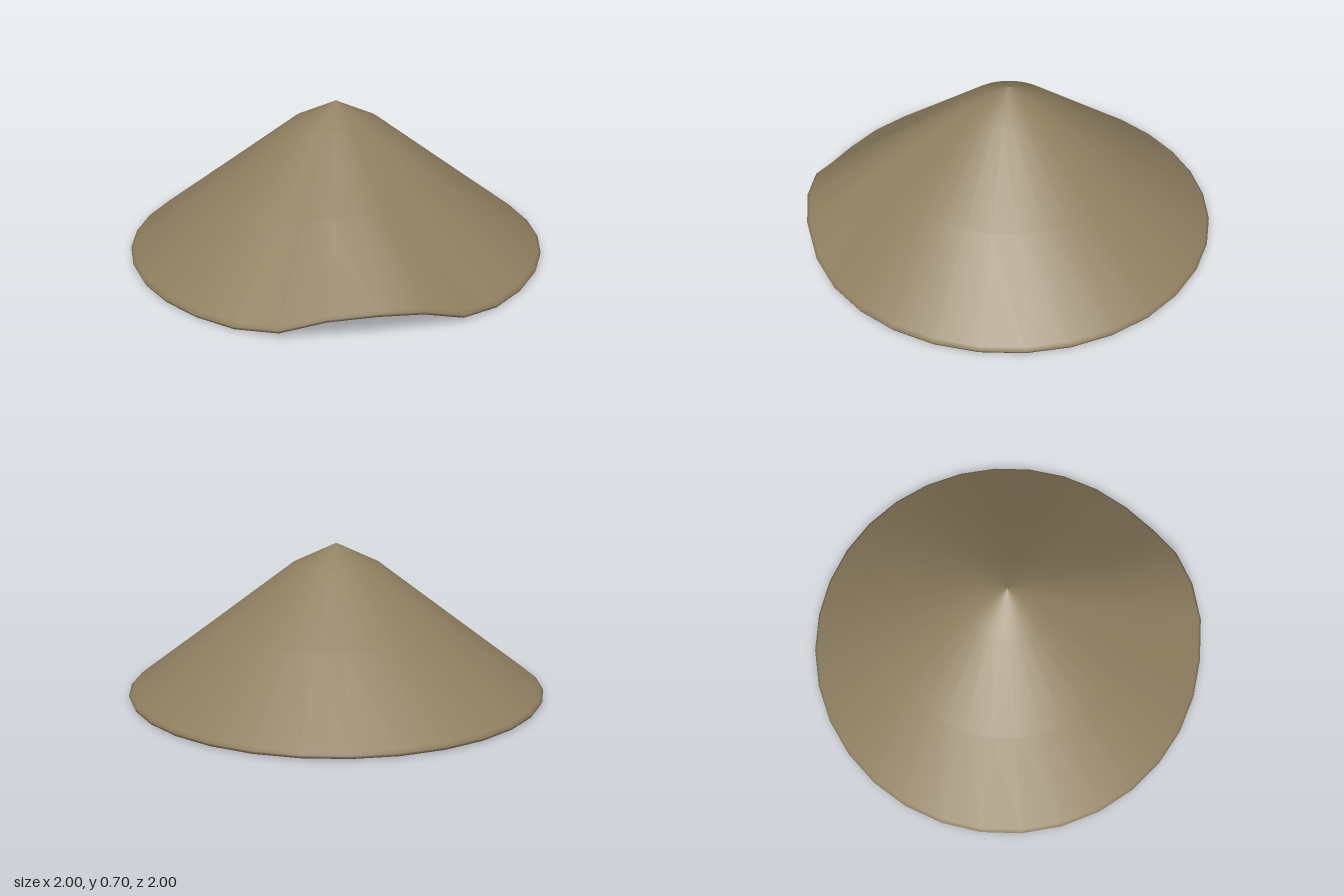
import * as THREE from 'three';
import { mergeVertices } from 'three/addons/utils/BufferGeometryUtils.js';

export function createModel() {
  const model = new THREE.Group();
  model.name = 'conicalHat';

  const straw = new THREE.MeshStandardMaterial({ color: 0x8f7f60, side: THREE.DoubleSide });
  straw.name = 'straw';

  // Profile: inner edge of the turned-under brim, rim, slope, shoulder, tip
  const profile = [
    [0.78, 0.125], [0.98, 0.002], [0.994, 0.006], [1.0, 0.02], [0.985, 0.033],
    [0.6, 0.319], [0.21, 0.61], [0.004, 0.705],
  ].map(([r, y]) => new THREE.Vector2(r, y));

  let hat = new THREE.LatheGeometry(profile, 32);
  hat.deleteAttribute('uv');
  hat.deleteAttribute('normal');
  hat = mergeVertices(hat, 1e-4);

  // Raise the front of the brim, fading to nothing at the shoulder
  const pos = hat.attributes.position;
  for (let i = 0; i < pos.count; i++) {
    const x = pos.getX(i), z = pos.getZ(i);
    const angle = THREE.MathUtils.radToDeg(Math.abs(Math.atan2(x, z)));
    const front = 1 - THREE.MathUtils.smoothstep(angle, 5, 29);
    const outward = Math.max(0, (Math.hypot(x, z) - 0.21) / 0.79);
    pos.setY(i, pos.getY(i) + 0.1 * front * outward);
  }
  hat.computeVertexNormals();

  const mesh = new THREE.Mesh(hat, straw);
  mesh.name = 'hatShell';
  model.add(mesh);
  return model;
}
